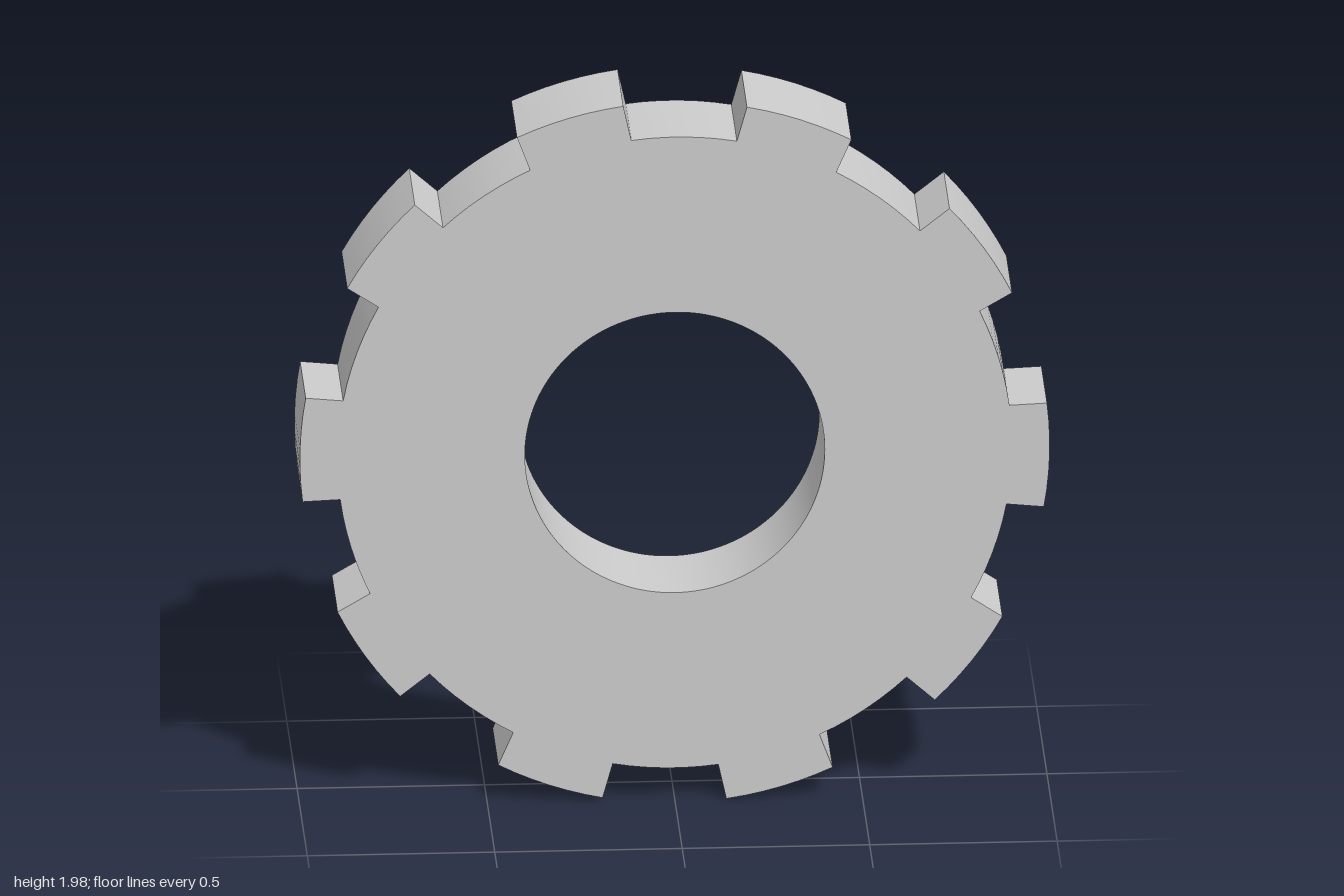
import * as THREE from 'three';
import { toCreasedNormals } from 'three/addons/utils/BufferGeometryUtils.js';

const TEETH = 10, OUTER = 1, ROOT = 0.9, BORE = 0.4, DEPTH = 0.274;
const STEP = 360 / TEETH, TURN = -1.6; // degrees; the teeth sit slightly rotated
const TIP_HALF = 8.5, ROOT_HALF = 9;   // half angle of a tooth at tip and root
const CENTRE_Y = 0.99;

// points along an arc, angles in degrees
function arc(radius, from, to, segments) {
  return Array.from({ length: segments + 1 }, (_, i) => {
    const a = THREE.MathUtils.degToRad(from + (to - from) * i / segments);
    return new THREE.Vector2(radius * Math.cos(a), radius * Math.sin(a));
  });
}

export function createModel() {
  // toothed outline: curved tooth tip, then curved valley
  const outline = [];
  for (let i = 0; i < TEETH; i++) {
    const mid = TURN + i * STEP;
    outline.push(...arc(OUTER, mid - TIP_HALF, mid + TIP_HALF, 6));
    outline.push(...arc(ROOT, mid + ROOT_HALF, mid + STEP - ROOT_HALF, 6));
  }
  const shape = new THREE.Shape(outline);

  // round bore
  const bore = new THREE.Path();
  bore.absarc(0, 0, BORE, 0, Math.PI * 2, true);
  shape.holes.push(bore);

  const geometry = new THREE.ExtrudeGeometry(shape, {
    depth: DEPTH, bevelEnabled: false, curveSegments: 72,
  });
  geometry.translate(0, CENTRE_Y, -DEPTH / 2);

  const gear = new THREE.Mesh(
    toCreasedNormals(geometry, Math.PI / 6),
    new THREE.MeshStandardMaterial({ color: 0xcccccc }),
  );
  gear.name = 'gearWheel';

  const group = new THREE.Group();
  group.name = 'gear';
  group.add(gear);
  return group;
}
